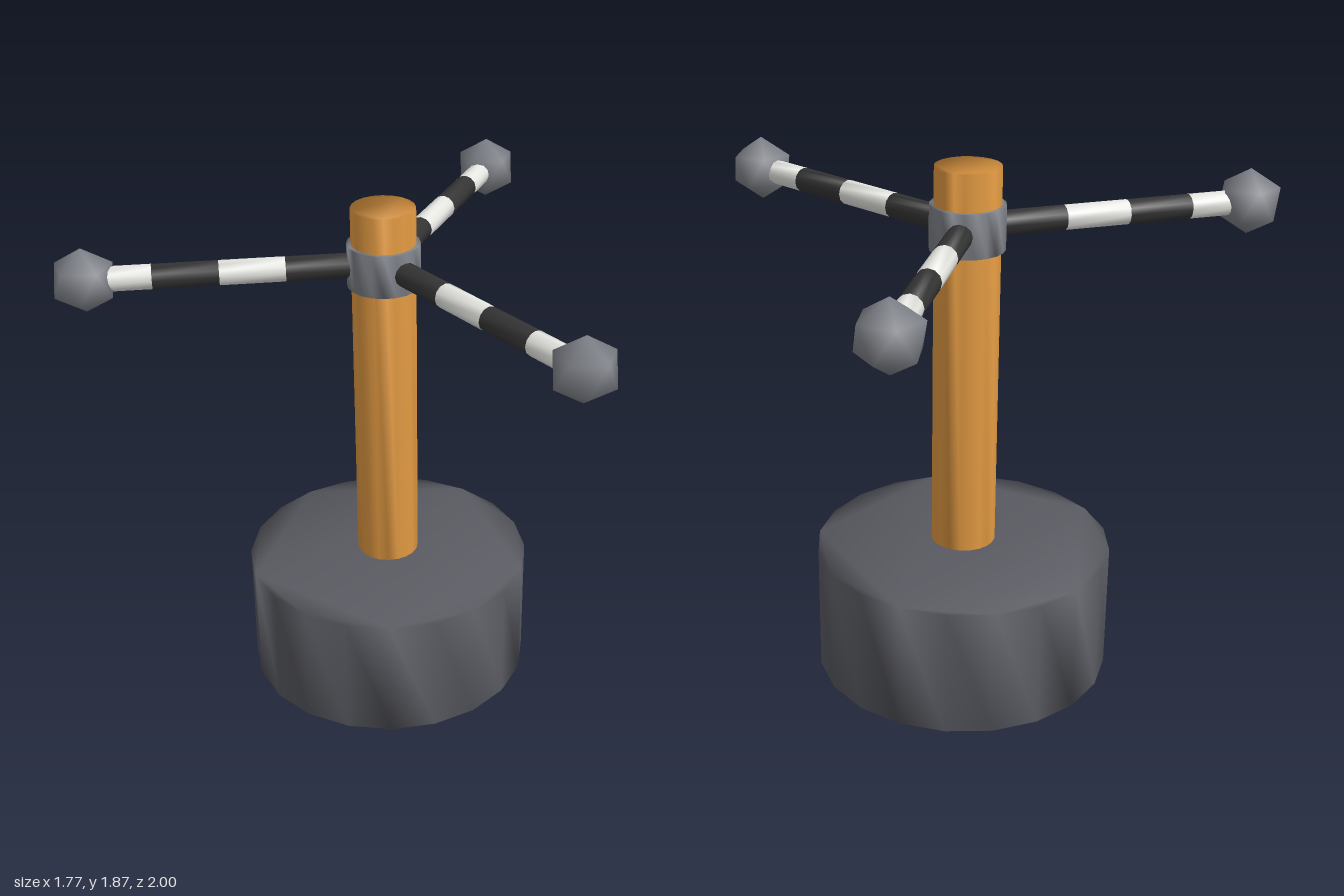
import * as THREE from 'three';
import { mergeVertices } from 'three/addons/utils/BufferGeometryUtils.js';

// Shares corner vertices so the shading runs smoothly over every edge
function smooth(geometry) {
  geometry.deleteAttribute('normal');
  geometry.deleteAttribute('uv');
  const merged = mergeVertices(geometry, 1e-4);
  merged.computeVertexNormals();
  return merged;
}

// Solid prism along +z, from z = 0 to z = length
function rod(radius, length, sides) {
  const points = [];
  for (let i = 0; i < sides; i++) {
    const a = (i / sides) * Math.PI * 2;
    points.push(new THREE.Vector2(radius * Math.cos(a), radius * Math.sin(a)));
  }
  const geometry = new THREE.ExtrudeGeometry(new THREE.Shape(points), {
    depth: length, bevelEnabled: false, steps: 1,
  });
  return smooth(geometry);
}

function material(name, color) {
  const m = new THREE.MeshStandardMaterial({ color });
  m.name = name;
  return m;
}

function add(parent, name, geometry, mat) {
  const mesh = new THREE.Mesh(geometry, mat);
  mesh.name = name;
  parent.add(mesh);
  return mesh;
}

export function createModel() {
  const model = new THREE.Group();
  model.name = 'threeArmedPost';

  const charcoal = material('charcoal', 0x5a5b62);
  const orange = material('orange', 0xe29a42);
  const grey = material('grey', 0x7d8087);
  const black = material('black', 0x343434);
  const white = material('white', 0xe6e6e2);

  const axisX = -0.26;
  const armY = 1.66;

  // Upright parts share one axis
  const upright = (name, radius, bottom, top, mat) => {
    const geometry = rod(radius, top - bottom, 20).rotateX(-Math.PI / 2);
    add(model, name, geometry, mat).position.set(axisX, bottom, 0);
  };
  upright('base', 0.53, 0, 0.465, charcoal);
  upright('post', 0.115, 0.485, 1.868, orange);
  upright('hub', 0.131, 1.582, 1.738, grey);

  // Striped arms, three around the hub, each ending in a ball
  const segmentLength = 0.23;
  const segment = rod(0.044, segmentLength, 12).rotateY(Math.PI / 2);
  const ball = smooth(new THREE.IcosahedronGeometry(0.118, 0))
    .rotateZ(-Math.atan(2 / (1 + Math.sqrt(5))));
  const reach = 1.037;

  for (let k = 0; k < 3; k++) {
    const angle = (k * Math.PI * 2) / 3;
    const arm = new THREE.Group();
    arm.name = 'arm' + (k + 1);
    arm.position.set(axisX, armY, 0);
    arm.rotation.y = angle;
    for (let i = 0; i < 4; i++) {
      const stripe = add(arm, i % 2 ? 'whiteStripe' : 'blackStripe', segment, i % 2 ? white : black);
      stripe.position.x = 0.115 + i * segmentLength;
    }
    model.add(arm);

    // Balls all keep the same orientation
    add(model, 'ball' + (k + 1), ball, grey).position.set(
      axisX + reach * Math.cos(angle), armY, -reach * Math.sin(angle));
  }
  return model;
}
